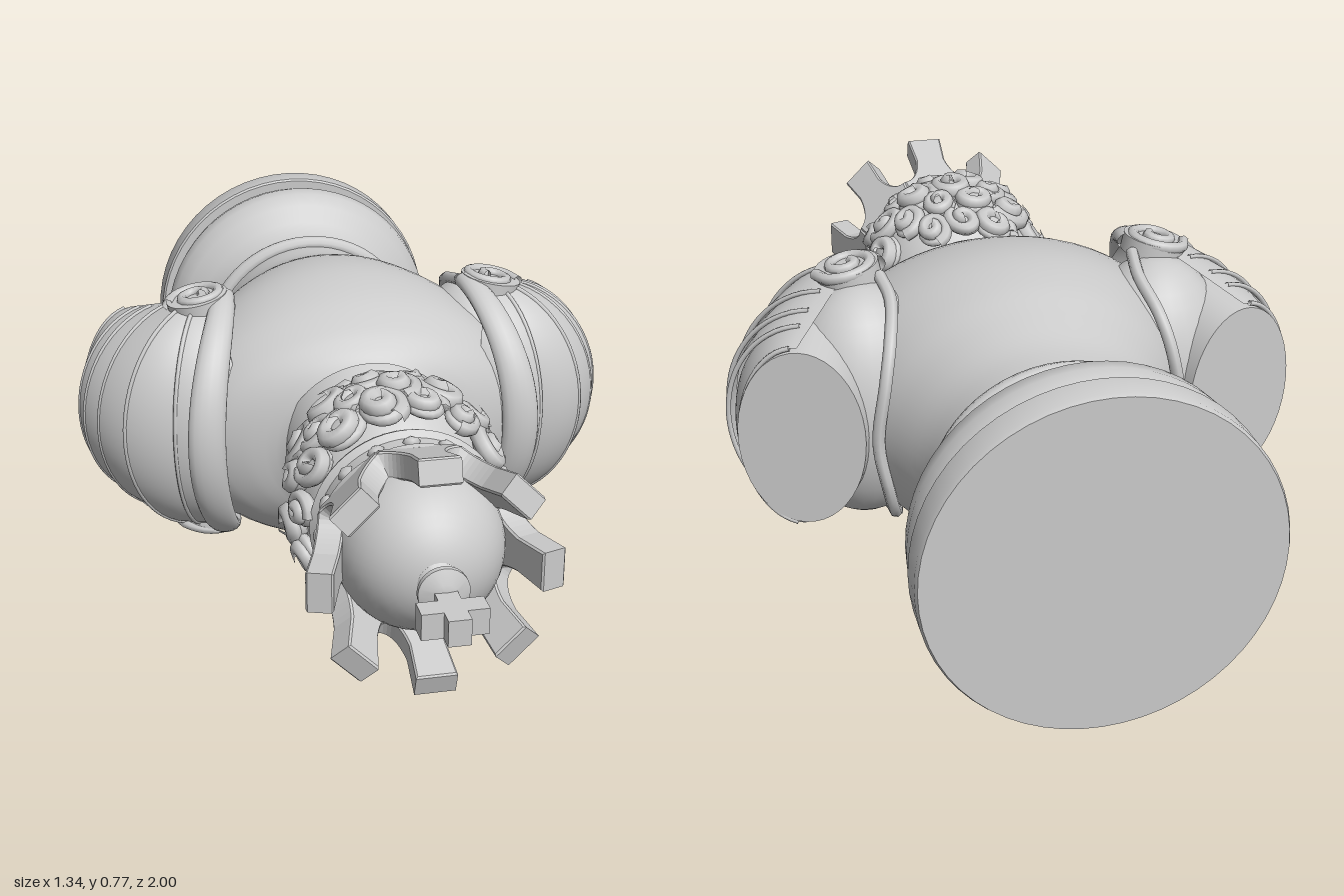
import * as THREE from 'three';
import { mergeVertices, toCreasedNormals } from 'three/addons/utils/BufferGeometryUtils.js';

const grey = new THREE.MeshStandardMaterial({ color: 0xcccccc });
const greyThin = new THREE.MeshStandardMaterial({ color: 0xcccccc, side: THREE.DoubleSide });
const V = (x, y, z) => new THREE.Vector3(x, y, z);
const ball = new THREE.SphereGeometry(1, 32, 20);

function add(parent, name, geo, pos = [0, 0, 0], scale = [1, 1, 1], mat = grey) {
  const m = new THREE.Mesh(geo, mat);
  m.name = name;
  m.position.set(...pos);
  m.scale.set(...scale);
  parent.add(m);
  return m;
}

// Smooth grid surface from a rule f(u, v) -> point
function surface(nu, nv, f) {
  const g = new THREE.PlaneGeometry(1, 1, nu, nv);
  const p = g.attributes.position, uv = g.attributes.uv;
  for (let i = 0; i < p.count; i++) p.setXYZ(i, ...f(uv.getX(i), uv.getY(i)));
  g.deleteAttribute('uv');
  g.deleteAttribute('normal');
  const m = mergeVertices(g, 1e-5);
  m.computeVertexNormals();
  return m;
}

const tube = (pts, r, n = 24) =>
  new THREE.TubeGeometry(new THREE.CatmullRomCurve3(pts.map(p => V(...p))), n, r, 7);

function lathe(profile, crease = 0.5, n = 56) {
  const g = new THREE.LatheGeometry(profile.map(([r, y]) => new THREE.Vector2(r, y)), n);
  return toCreasedNormals(g, crease);
}

// Spiral ribbon in the xy plane, rising slightly towards its centre
function spiral(rOut, rIn, turns, r, rise) {
  const pts = [];
  for (let i = 0; i <= 14; i++) {
    const t = i / 14, a = t * turns * Math.PI * 2, R = rOut + (rIn - rOut) * t;
    pts.push([R * Math.cos(a), R * Math.sin(a), rise * t]);
  }
  return tube(pts, r, 28);
}

function buildBody(king) {
  add(king, 'baseDisc', lathe([[0, -1], [0.38, -1], [0.385, -0.99], [0.385, -0.925], [0.38, -0.92], [0, -0.92]]));
  add(king, 'baseMoulding', lathe([[0.345, -0.925], [0.365, -0.9], [0.375, -0.86], [0.37, -0.82], [0.345, -0.79],
    [0.305, -0.76], [0.28, -0.73], [0.27, -0.695], [0.272, -0.67], [0.265, -0.62]], 0.9));
  const ring = add(king, 'waistRing', new THREE.TorusGeometry(0.274, 0.021, 10, 56), [0, -0.663, 0]);
  ring.rotation.x = Math.PI / 2;

  // Torso cross-sections: height, half width, half depth, depth offset
  const s = [[-0.65, 0.262, 0.27, 0], [-0.55, 0.28, 0.28, 0], [-0.45, 0.32, 0.305, -0.005], [-0.35, 0.37, 0.328, -0.012],
    [-0.2, 0.43, 0.343, -0.012], [-0.05, 0.44, 0.32, -0.012], [0.05, 0.385, 0.275, -0.015], [0.1, 0.3, 0.235, -0.02],
    [0.14, 0.2, 0.2, -0.02], [0.2, 0.16, 0.16, -0.02]];
  const a = new THREE.CatmullRomCurve3(s.map(q => V(q[0], q[1], q[2])));
  const c = new THREE.CatmullRomCurve3(s.map(q => V(q[0], q[3], 0)));
  add(king, 'torso', surface(56, 36, (u, v) => {
    const p = a.getPoint(v), t = u * Math.PI * 2;
    return [p.y * Math.sin(t), p.x, c.getPoint(v).y + p.z * Math.cos(t)];
  }));

  // Slanted collar around the neck
  const collar = new THREE.Group();
  collar.name = 'collar';
  collar.position.set(0, 0.16, -0.005);
  collar.rotation.x = 0.25;
  king.add(collar);
  add(collar, 'collarBand', lathe([[0.205, -0.06], [0.198, -0.01], [0.188, 0.03], [0.188, 0.05], [0.175, 0.06], [0.14, 0.05]], 0.7),
    [0, 0, 0], [1, 1, 1.1]);
  const rim = add(collar, 'collarRim', new THREE.TorusGeometry(0.188, 0.012, 8, 48), [0, 0.035, 0], [1, 1.1, 1]);
  rim.rotation.x = Math.PI / 2;
  add(king, 'neck', new THREE.CylinderGeometry(0.16, 0.165, 0.2, 32), [0, 0.24, -0.03]);
}

function buildHead(king) {
  const head = new THREE.Group();
  head.name = 'head';
  head.position.z = -0.015;
  king.add(head);
  add(head, 'face', ball, [0, 0.33, 0.07], [0.175, 0.21, 0.205]);
  add(head, 'hairCap', ball, [0, 0.41, -0.005], [0.225, 0.18, 0.255]);
  add(head, 'jaw', ball, [0, 0.2, 0.16], [0.135, 0.09, 0.115]);

  // Nose, brow, eyes, cheeks and moustache
  const nose = add(head, 'nose', new THREE.ConeGeometry(0.038, 0.14, 12), [0, 0.355, 0.28], [1, 1, 0.9]);
  nose.rotation.x = -0.28;
  add(head, 'noseTip', ball, [0, 0.31, 0.295], [0.028, 0.024, 0.026]);
  for (const k of [-1, 1]) {
    add(head, 'brow', tube([[0.01 * k, 0.405, 0.268], [0.06 * k, 0.425, 0.25], [0.12 * k, 0.4, 0.2]], 0.022));
    add(head, 'eye', ball, [0.062 * k, 0.375, 0.238], [0.026, 0.017, 0.018]);
    add(head, 'cheek', ball, [0.09 * k, 0.315, 0.205], [0.055, 0.06, 0.045]);
    add(head, 'moustache', tube([[0, 0.28, 0.272], [0.05 * k, 0.262, 0.262], [0.1 * k, 0.225, 0.225], [0.13 * k, 0.245, 0.185]], 0.024));
  }
  add(head, 'lowerLip', ball, [0, 0.24, 0.265], [0.035, 0.012, 0.02]);

  // Curls of hair and beard, each a spiral lock over a rounded lump
  const curlGeo = spiral(0.042, 0.008, 1.4, 0.017, 0.016);
  const lumpGeo = new THREE.SphereGeometry(0.045, 12, 8);
  let n = 0;
  const curl = (name, pos, dir, size) => {
    const m = add(head, name, curlGeo, pos, [size, size * 0.85, size]);
    m.quaternion.setFromUnitVectors(V(0, 0, 1), dir.normalize());
    m.rotateZ(n++ * 2.4);
    add(m, 'curlLump', lumpGeo, [0, 0, -0.005], [1, 1, 0.4]);
  };
  [0.49, 0.43, 0.365, 0.3].forEach((y, row) => {
    const f = Math.sqrt(1 - ((y - 0.43) / 0.24) ** 2);
    for (let i = 0; i < 15; i++) {
      const t = (i + row * 0.5) / 15 * Math.PI * 2;
      const x = 0.23 * f * Math.sin(t), z = 0.268 * f * Math.cos(t);
      if (y > 0.38 + 0.4 * z) curl('hairCurl', [x, y, z], V(x, (y - 0.43) * 0.8, z), 1.15 + 0.15 * Math.sin(n * 5));
    }
  });
  for (let row = 0; row < 3; row++) {
    for (let i = -3; i <= 3; i++) {
      const t = i * 0.42 + (row % 2) * 0.2, e = -0.1 - row * 0.4;
      const d = V(Math.sin(t) * Math.cos(e), Math.sin(e), Math.cos(t) * Math.cos(e));
      curl('beardCurl', [d.x * 0.135, 0.195 + d.y * 0.085, 0.158 + d.z * 0.11], d, 0.78);
    }
  }
}

function buildCrown(king) {
  const crown = new THREE.Group();
  crown.name = 'crown';
  crown.position.z = -0.018;
  king.add(crown);
  add(crown, 'crownBand', lathe([[0.18, 0.51], [0.21, 0.525], [0.216, 0.54], [0.203, 0.555], [0.203, 0.595],
    [0.213, 0.607], [0.211, 0.622], [0.2, 0.63], [0.17, 0.635]]));
  add(crown, 'crownDome', new THREE.SphereGeometry(0.185, 40, 24), [0, 0.65, 0]);

  // Prong with half arches on both sides
  const s = new THREE.Shape();
  s.moveTo(-0.08, 0);
  s.lineTo(0.08, 0);
  s.lineTo(0.084, 0.03);
  s.bezierCurveTo(0.058, 0.035, 0.042, 0.07, 0.036, 0.12);
  s.lineTo(0.041, 0.21);
  s.lineTo(-0.041, 0.21);
  s.lineTo(-0.036, 0.12);
  s.bezierCurveTo(-0.042, 0.07, -0.058, 0.035, -0.084, 0.03);
  const prongGeo = new THREE.ExtrudeGeometry(s, { depth: 0.05, bevelEnabled: true, bevelSize: 0.004, bevelThickness: 0.004, bevelSegments: 1, curveSegments: 8 });
  prongGeo.translate(0, 0, -0.05);
  for (let i = 0; i < 16; i++) {
    const pivot = new THREE.Group();
    pivot.name = 'crownSection';
    pivot.rotation.y = i * Math.PI / 8;
    crown.add(pivot);
    add(pivot, 'gem', new THREE.OctahedronGeometry(0.02, 1), [0, 0.575, 0.203], [1, 0.9, 0.6]);
    if (i % 2 === 0) add(pivot, 'crownProng', prongGeo, [0, 0.612, 0.203]).rotation.x = 0.32;
  }

  // Finial and cross
  add(crown, 'finial', lathe([[0.055, 0.82], [0.035, 0.84], [0.03, 0.85], [0.055, 0.86], [0.055, 0.872], [0.025, 0.885], [0, 0.89]], 0.7, 24));
  add(crown, 'crossShaft', new THREE.BoxGeometry(0.048, 0.13, 0.058), [0, 0.935, 0.02]);
  add(crown, 'crossBar', new THREE.BoxGeometry(0.14, 0.05, 0.058), [0, 0.94, 0.02]);
}

function buildShoulder(side) {
  const g = new THREE.Group();
  g.name = side > 0 ? 'leftShoulder' : 'rightShoulder';
  g.scale.x = side;
  const cx = 0.36, cy = 0.415, cz = -0.13, rad = Math.PI / 180, mix = THREE.MathUtils.lerp;
  const part = (name, geo, pos, scale) => add(g, name, geo, pos, scale, greyThin);

  // Arc of the shoulder shell; its ends move from the scrolls to the arm rim as the angle grows
  const at = (az, R, lat) => {
    const k = THREE.MathUtils.clamp((az - 56) / 65, 0, 1), c = Math.cos(lat);
    const px = mix(cx, 0.515, k), pz = mix(cz, -0.35, k);
    const tx = cx + R * Math.sin(az * rad), tz = cz + R * Math.cos(az * rad);
    return [px + (tx - px) * c, mix(cy, 0.402, k) + mix(0.295, 0.22, k) * Math.sin(lat), pz + (tz - pz) * c];
  };

  // Overlapping pleats: start angle and radius, end angle and radius
  const pleats = [[-20, 0.2, 26, 0.215], [25, 0.2, 56, 0.255], [55, 0.235, 77, 0.275], [76, 0.25, 92, 0.298], [91, 0.275, 104, 0.315], [103, 0.29, 121, 0.335]];
  for (const [a0, r0, a1, r1] of pleats) {
    part('pleat', surface(10, 28, (u, v) => at(a0 + (a1 - a0) * u, r0 + (r1 - r0) * u, (v - 0.5) * Math.PI)));
    const edge = [];
    for (let i = 0; i <= 16; i++) edge.push(at(a1, r1 - 0.004, (i / 16 - 0.5) * 2.9));
    part('pleatEdge', tube(edge, 0.006, 32));
  }
  part('shoulderCore', ball, [0.35, 0.41, -0.2], [0.19, 0.285, 0.18]);

  // Oval upper arm with a flat cut end
  const armGeo = new THREE.CylinderGeometry(0.213, 0.25, 0.26, 44);
  armGeo.rotateX(-Math.PI / 2);
  part('arm', armGeo, [0.473, 0.4, -0.232], [0.68, 1, 1]).rotation.y = -0.326;

  // Raised front flange, tapering into both scrolls
  part('flange', surface(16, 36, (u, v) => {
    const lat = (v - 0.5) * Math.PI, t = u * Math.PI * 2, c = Math.cos(lat);
    const [x, y, z] = at(9, 0.25, lat);
    const w = 0.028 + 0.017 * c, k = 0.022 * Math.cos(t);
    return [x - 0.015 - 0.04 * Math.sin(lat) ** 2 + w * Math.sin(t), y + k * Math.sin(lat), z + k * c];
  }));

  // Scrolls at the top and bottom, leaning outwards
  for (const k of [-1, 1]) {
    const scroll = new THREE.Group();
    scroll.name = 'scroll';
    scroll.position.set(cx + 0.005, cy + k * 0.282, cz);
    scroll.rotation.z = -k * 0.2;
    g.add(scroll);
    add(scroll, 'scrollDisc', new THREE.CylinderGeometry(0.075, 0.075, 0.04, 28), undefined, undefined, greyThin);
    const curl = add(scroll, 'scrollRibbon', spiral(0.073, 0.015, 1.6, 0.014, 0.006), [0, k * 0.016, 0], undefined, greyThin);
    curl.rotation.x = -k * Math.PI / 2;
  }

  // Rim running behind the arm from scroll to scroll
  const half = [[0.30, 0.7, -0.17], [0.29, 0.675, -0.26], [0.31, 0.62, -0.36], [0.33, 0.54, -0.405]];
  const rim = [...half, [0.35, 0.4, -0.41], ...half.map(([x, y, z]) => [x, 0.815 - y, z]).reverse()];
  part('rearRim', tube(rim, 0.015, 48));
  return g;
}

export function createModel() {
  const model = new THREE.Group();
  model.name = 'crownedBust';
  // The bust is built upright, then laid face down along z
  const king = new THREE.Group();
  king.name = 'bust';
  king.rotation.x = Math.PI / 2;
  king.position.y = 0.385;
  model.add(king);
  buildBody(king);
  buildHead(king);
  buildCrown(king);
  model.add(buildShoulder(1), buildShoulder(-1));
  return model;
}
